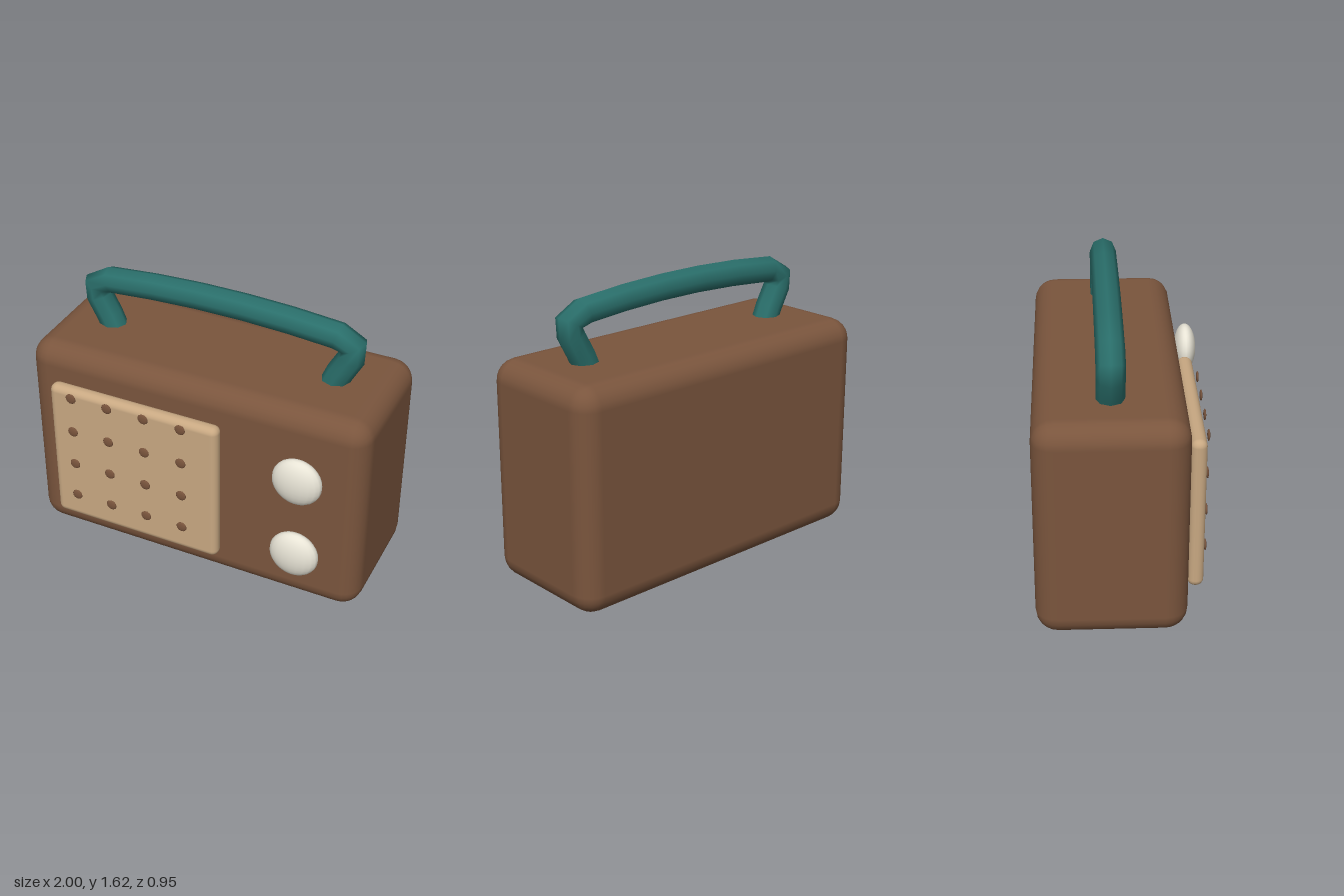
import * as THREE from 'three';
import { RoundedBoxGeometry } from 'three/addons/geometries/RoundedBoxGeometry.js';

const paint = (color) => new THREE.MeshStandardMaterial({ color });

export function createModel() {
  const radio = new THREE.Group();
  radio.name = 'radio';

  const brown = paint(0x7a553d);
  const tan = paint(0xc8a882);
  const cream = paint(0xe8e4d6);
  const teal = paint(0x2a6f6b);

  const add = (name, geometry, material, x, y, z) => {
    const mesh = new THREE.Mesh(geometry, material);
    mesh.name = name;
    mesh.position.set(x, y, z);
    radio.add(mesh);
    return mesh;
  };

  // Rounded cabinet and the speaker panel on its front
  add('cabinet', new RoundedBoxGeometry(2, 1.24, 0.8, 3, 0.12), brown, 0, 0.625, -0.08);
  add('speakerPanel', new RoundedBoxGeometry(1.02, 0.88, 0.085, 3, 0.04), tan, -0.31, 0.625, 0.367);

  // Grid of flattened speaker studs
  const stud = new THREE.SphereGeometry(0.031, 12, 8);
  for (let row = 0; row < 4; row++) {
    for (let col = 0; col < 4; col++) {
      const mesh = add('speakerStud', stud, brown, -0.67 + col * 0.222, 0.36 + row * 0.222, 0.425);
      mesh.scale.z = 0.25;
    }
  }

  // Two flattened dials
  const dial = new THREE.SphereGeometry(0.14, 20, 14);
  for (const [name, y] of [['upperDial', 0.895], ['lowerDial', 0.405]]) {
    add(name, dial, cream, 0.665, y, 0.41).scale.z = 0.46;
  }

  // Carrying handle: half a path, mirrored, with one tube ring per path point
  const half = [
    [-0.64, 1.17], [-0.69, 1.29], [-0.75, 1.40], [-0.76, 1.47],
    [-0.67, 1.513], [-0.4, 1.535], [-0.13, 1.546],
  ];
  const path = [...half, ...half.map(([x, y]) => [-x, y]).reverse()];
  const curve = new THREE.CatmullRomCurve3(path.map(([x, y]) => new THREE.Vector3(x, y, 0)));
  curve.getPointAt = (t, target) => curve.getPoint(t, target);
  curve.getTangentAt = (t, target) => curve.getTangent(t, target);
  add('handle', new THREE.TubeGeometry(curve, path.length - 1, 0.075, 8), teal, 0, 0, -0.077);

  return radio;
}
